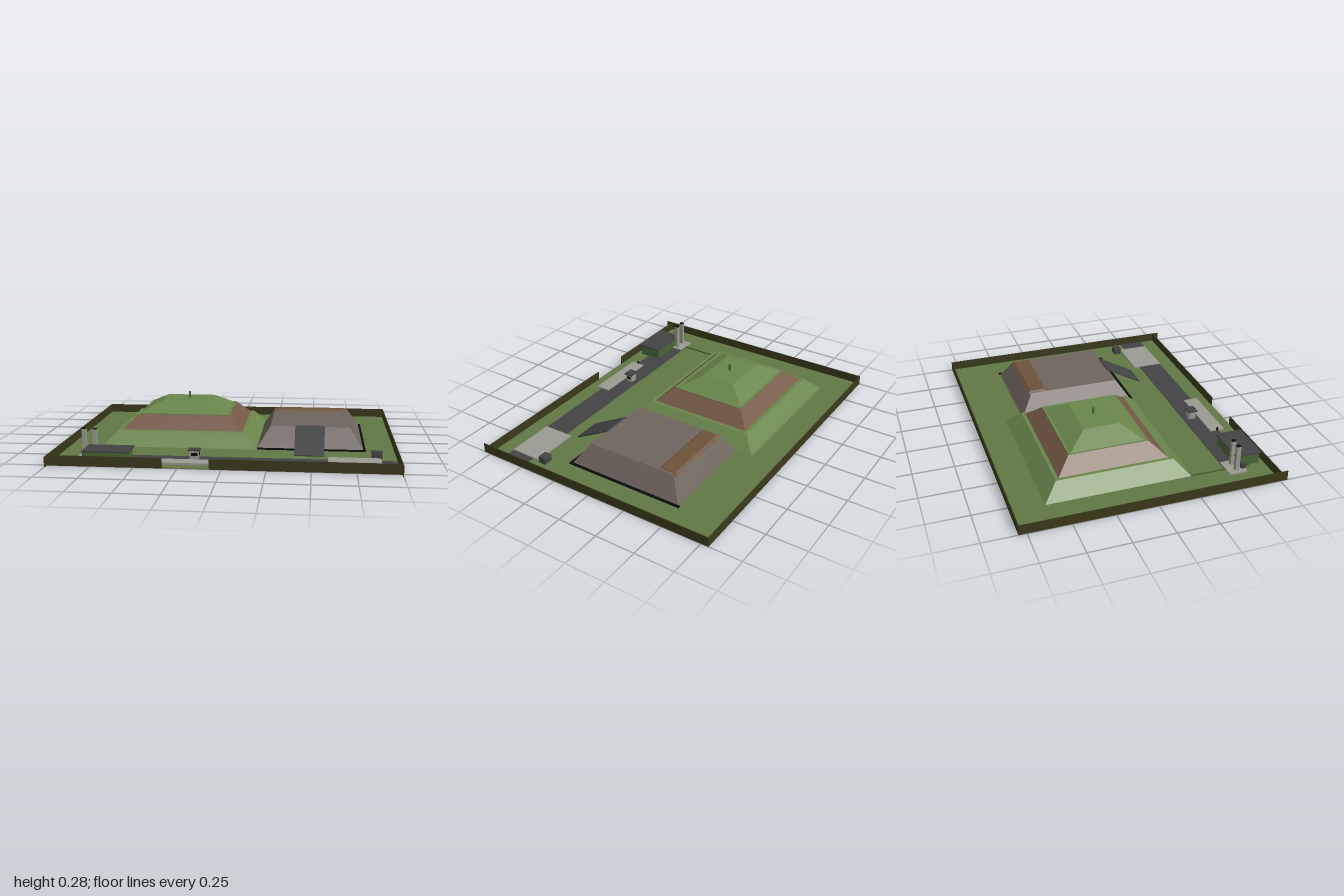
import * as THREE from 'three';

const mat = (name, color) => {
  const m = new THREE.MeshStandardMaterial({ color });
  m.name = name;
  return m;
};

export function createModel() {
  const site = new THREE.Group();
  site.name = 'landfillSite';

  const ground = mat('groundGreen', 0x617844);
  const grass = mat('grassGreen', 0x6a864b);
  const brown = mat('soilBrown', 0x745846);
  const waste = mat('wasteGrey', 0x6f645e);
  const cover = mat('coverBrown', 0x6c523a);
  const asphalt = mat('asphalt', 0x434345);
  const concrete = mat('concrete', 0x9b9b93);
  const black = mat('linerBlack', 0x0c0c0f);
  const fence = mat('fenceOlive', 0x3b3a1c);
  const darkGreen = mat('paintedGreen', 0x4b6635);

  const add = (name, geo, material) => {
    const m = new THREE.Mesh(geo, material);
    m.name = name;
    site.add(m);
    return m;
  };

  // Box given by its limits on each axis
  const box = (name, [x0, x1], [y0, y1], [z0, z1], material) => {
    const g = new THREE.BoxGeometry(x1 - x0, y1 - y0, z1 - z0);
    g.translate((x0 + x1) / 2, (y0 + y1) / 2, (z0 + z1) / 2);
    return add(name, g, material);
  };

  // Tapered mound: lower and upper rectangles as [x0, x1, z0, z1]
  const mound = (name, low, high, y0, y1, material) => {
    const g = new THREE.BoxGeometry(1, 1, 1);
    const p = g.attributes.position;
    for (let i = 0; i < p.count; i++) {
      const top = p.getY(i) > 0;
      const r = top ? high : low;
      p.setXYZ(i, p.getX(i) < 0 ? r[0] : r[1], top ? y1 : y0, p.getZ(i) < 0 ? r[2] : r[3]);
    }
    g.computeVertexNormals();
    return add(name, g, material);
  };

  // Ground and perimeter fence with a gate gap at the front
  box('ground', [-0.998, 0.998], [0, 0.004], [-0.795, 0.752], ground);
  const h = [0, 0.06];
  box('backFence', [-1, 1], h, [-0.797, -0.791], fence);
  box('rightFence', [-1, -0.995], h, [-0.797, 0.795], fence);
  box('leftFence', [0.995, 1], h, [-0.797, 0.795], fence);
  box('frontFenceRight', [-1, -0.335], h, [0.75, 0.756], fence);
  box('frontFenceLeft', [-0.07, 1], h, [0.75, 0.756], fence);

  // Closed cell: three stepped mounds with a vent on top
  mound('lowerMound', [-0.795, 0.172, -0.595, 0.283], [-0.71, 0.086, -0.508, 0.2], 0.004, 0.09, grass);
  mound('middleMound', [-0.688, 0.066, -0.486, 0.177], [-0.6, -0.024, -0.4, 0.086], 0.09, 0.172, brown);
  box('grassCap', [-0.6, -0.024], [0.172, 0.176], [-0.4, 0.086], grass);
  mound('upperMound', [-0.594, -0.048, -0.385, 0.064], [-0.467, -0.155, -0.266, -0.046], 0.176, 0.24, grass);
  box('ventPipe', [-0.316, -0.304], [0.24, 0.28], [-0.161, -0.149], darkGreen);

  // Active cell: waste mound, liner edges, daily cover and access ramp
  mound('wasteMound', [0.16, 0.814, -0.485, 0.267], [0.242, 0.727, -0.4, 0.18], 0.004, 0.132, waste);
  box('linerSide', [0.808, 0.823], [0.004, 0.012], [-0.495, 0.28], black);
  box('linerFront', [0.165, 0.823], [0.004, 0.012], [0.263, 0.28], black);
  mound('dailyCover', [0.24, 0.725, -0.418, -0.288], [0.262, 0.703, -0.4, -0.306], 0.126, 0.14, cover);
  const rampLength = Math.hypot(0.24, 0.13);
  const ramp = add('accessRamp', new THREE.BoxGeometry(0.18, 0.008, rampLength), asphalt);
  ramp.position.set(0.485, 0.07, 0.296);
  ramp.rotation.x = Math.atan2(0.13, 0.24);

  // Road, pads and weighbridge
  box('road', [-0.8, 0.994], [0.003, 0.008], [0.497, 0.652], asphalt);
  box('flarePad', [-0.862, -0.73], [0.003, 0.014], [0.497, 0.61], concrete);
  box('unloadingPad', [0.595, 0.9], [0.003, 0.013], [0.456, 0.652], concrete);
  box('weighbridge', [-0.388, 0.028], [0.003, 0.016], [0.596, 0.687], concrete);
  box('barrierPost', [-0.394, -0.384], [0.003, 0.03], [0.636, 0.646], black);

  // Gatehouse with windows on each side
  box('gatehouse', [-0.204, -0.152], [0.004, 0.06], [0.53, 0.574], concrete);
  box('gatehouseRoof', [-0.214, -0.144], [0.06, 0.068], [0.522, 0.582], asphalt);
  box('gatehouseFrontWindow', [-0.197, -0.159], [0.03, 0.047], [0.573, 0.576], black);
  box('gatehouseSideWindow', [-0.151, -0.149], [0.03, 0.047], [0.538, 0.566], black);

  // Plant building, gas pipe and two flare stacks
  box('plantBuilding', [-0.79, -0.54], [0.004, 0.074], [0.57, 0.718], darkGreen);
  box('plantRoof', [-0.802, -0.53], [0.074, 0.082], [0.56, 0.727], asphalt);
  box('gasPipe', [-0.799, -0.792], [0.004, 0.012], [0.28, 0.51], darkGreen);
  box('blower', [-0.832, -0.802], [0.012, 0.045], [0.585, 0.613], asphalt);
  for (const x of [-0.829, -0.765]) {
    box('flareStack', [x - 0.012, x + 0.012], [0.01, 0.174], [0.542, 0.568], concrete);
    box('flareOpening', [x - 0.012, x + 0.012], [0.174, 0.177], [0.542, 0.568], black);
  }

  // Utility shed by the unloading pad
  box('utilityShed', [0.85, 0.91], [0.004, 0.045], [0.393, 0.441], asphalt);

  return site;
}
